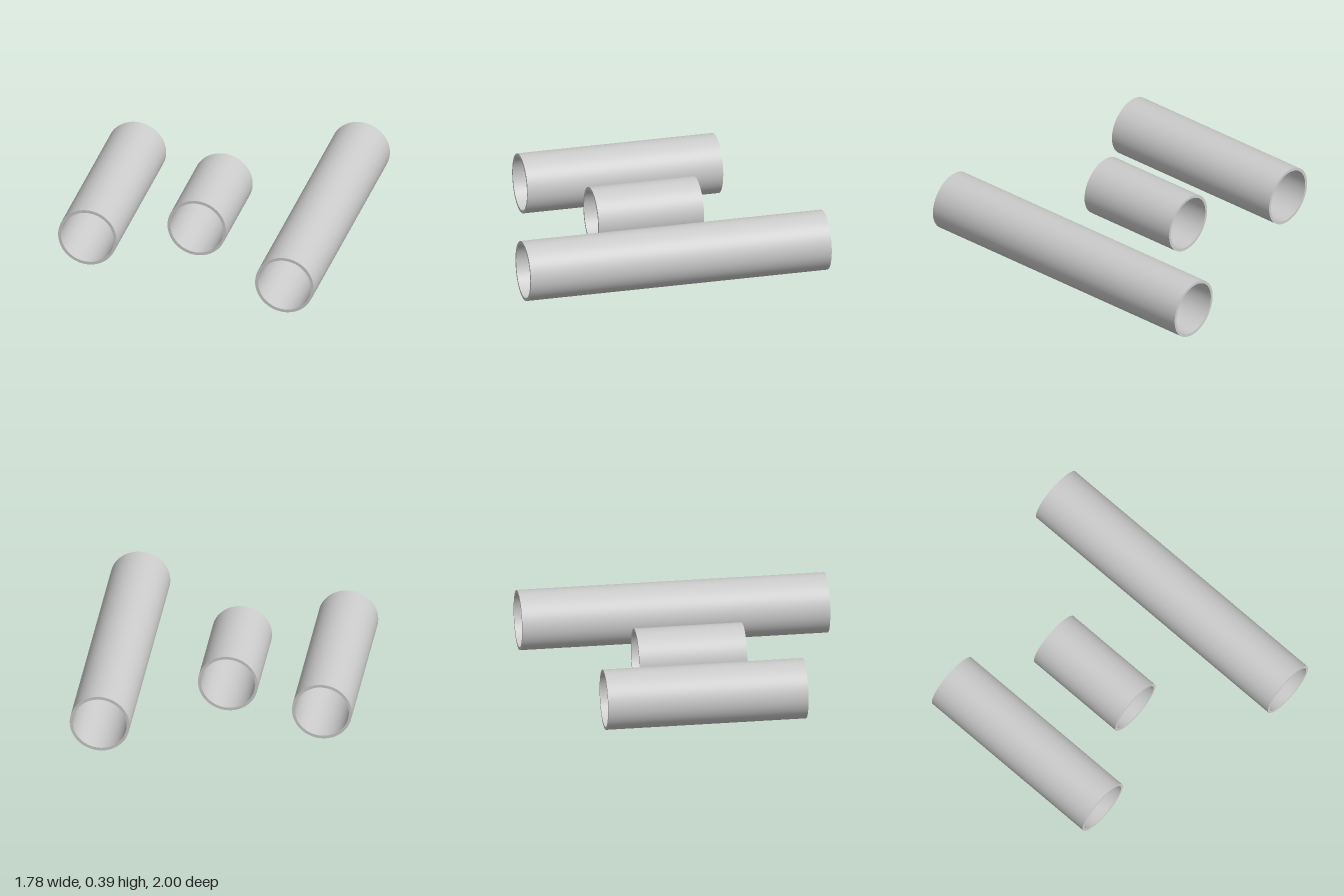
import * as THREE from 'three';
import { toCreasedNormals } from 'three/addons/utils/BufferGeometryUtils.js';

const OUTER = 0.194;
const INNER = 0.175;

// Hollow tube lying along z: a closed wall section revolved, with crisp rims
function tubeGeometry(length) {
  const h = length / 2;
  const wall = [[OUTER, -h], [OUTER, h], [INNER, h], [INNER, -h], [OUTER, -h]]
    .map(([x, y]) => new THREE.Vector2(x, y));
  const geometry = new THREE.LatheGeometry(wall, 96);
  geometry.rotateX(Math.PI / 2);
  return toCreasedNormals(geometry, Math.PI / 4);
}

export function createModel() {
  const group = new THREE.Group();
  group.name = 'pipes';
  const material = new THREE.MeshStandardMaterial({ color: 0xcccccc });

  // Three pipes of different length, side by side on the ground
  const pipes = [
    { name: 'mediumPipe', x: -0.697, length: 1.3 },
    { name: 'shortPipe', x: -0.048, length: 0.7 },
    { name: 'longPipe', x: 0.697, length: 2 },
  ];
  for (const { name, x, length } of pipes) {
    const pipe = new THREE.Mesh(tubeGeometry(length), material);
    pipe.name = name;
    pipe.position.set(x, OUTER, 0);
    group.add(pipe);
  }
  return group;
}
